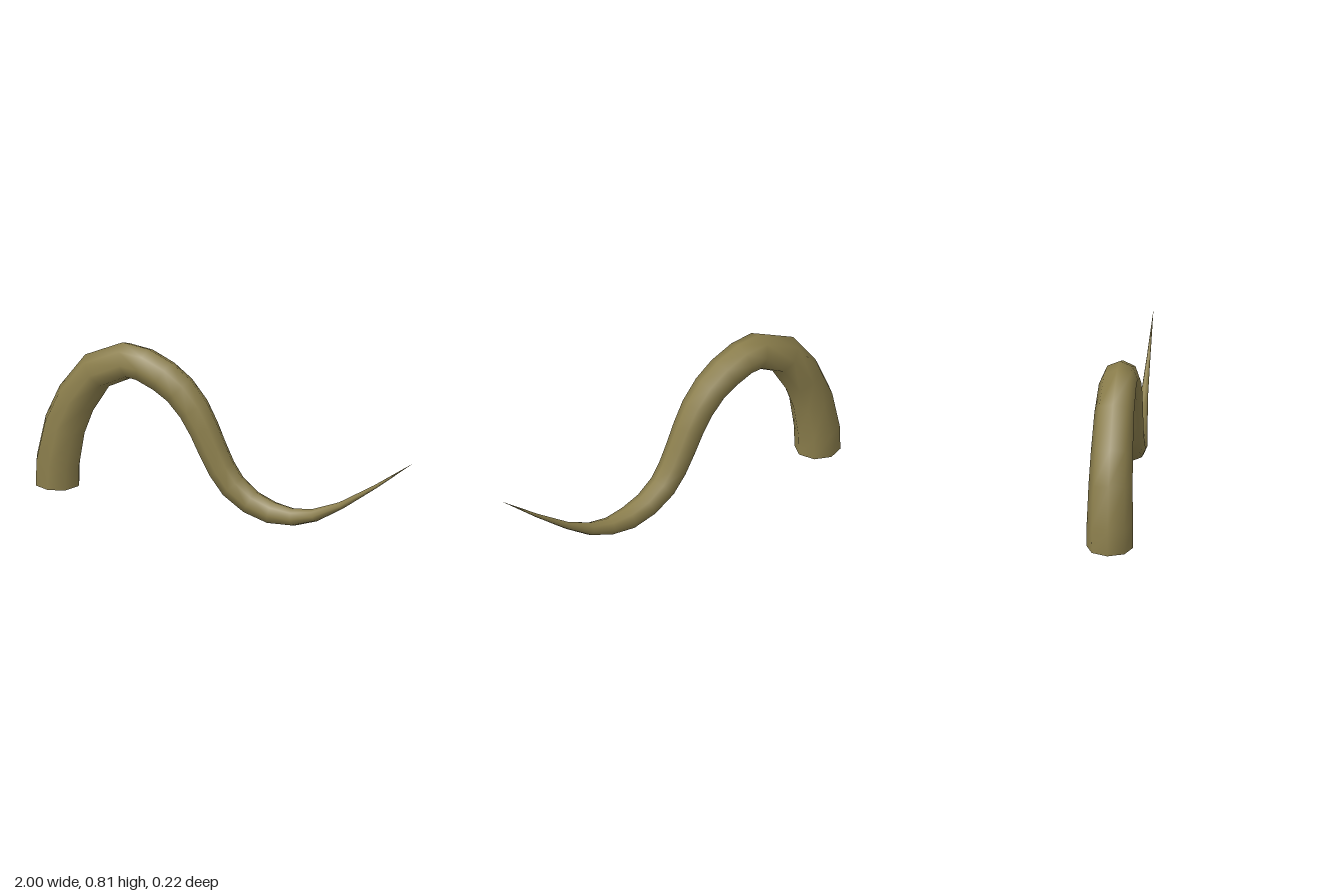
import * as THREE from 'three';

// Centreline of the tail with its radius: x, y, radius
const STATIONS = [
  [-0.89, 0.03, 0.112], [-0.887, 0.15, 0.112], [-0.85, 0.34, 0.107], [-0.79, 0.485, 0.102],
  [-0.68, 0.645, 0.096], [-0.52, 0.724, 0.091], [-0.43, 0.715, 0.087], [-0.325, 0.672, 0.086],
  [-0.24, 0.615, 0.083], [-0.165, 0.53, 0.08], [-0.11, 0.435, 0.076], [-0.065, 0.34, 0.073],
  [-0.015, 0.245, 0.07], [0.045, 0.165, 0.067], [0.14, 0.098, 0.062], [0.25, 0.062, 0.057],
  [0.365, 0.058, 0.044], [0.48, 0.087, 0.032], [0.62, 0.16, 0.018], [0.8, 0.285, 0.009],
  [1.0, 0.437, 0.0005],
];
const SIDES = 8;

// Sweep a tapering octagon along the centreline
function taperedSweep(stations) {
  const positions = [], index = [];
  const last = stations.length - 1;
  stations.forEach(([x, y, r], i) => {
    const before = stations[Math.max(i - 1, 0)], after = stations[Math.min(i + 1, last)];
    const tangent = i === 0
      ? new THREE.Vector2(0, 1) // flat, level base
      : new THREE.Vector2(after[0] - before[0], after[1] - before[1]).normalize();
    const drift = 0.015 * Math.max(0, x + 0.5) / 1.5; // the tip leans slightly forward
    for (let j = 0; j < SIDES; j++) {
      const a = (j / SIDES) * Math.PI * 2;
      const n = r * Math.cos(a);
      positions.push(x - tangent.y * n, y + tangent.x * n, drift + r * Math.sin(a));
    }
  });
  for (let i = 0; i < last; i++) {
    for (let j = 0; j < SIDES; j++) {
      const a = i * SIDES + j, b = i * SIDES + (j + 1) % SIDES;
      index.push(a, b, b + SIDES, a, b + SIDES, a + SIDES);
    }
  }
  const geometry = new THREE.BufferGeometry();
  geometry.setAttribute('position', new THREE.Float32BufferAttribute(positions, 3));
  geometry.setIndex(index);
  geometry.computeVertexNormals();
  return geometry;
}

export function createModel() {
  const group = new THREE.Group();
  group.name = 'curvedTail';
  // Open at the base, so both sides show
  const olive = new THREE.MeshStandardMaterial({ color: 0x8b7e4c, side: THREE.DoubleSide });
  olive.name = 'olive';
  const tail = new THREE.Mesh(taperedSweep(STATIONS), olive);
  tail.name = 'tail';
  group.add(tail);
  return group;
}
